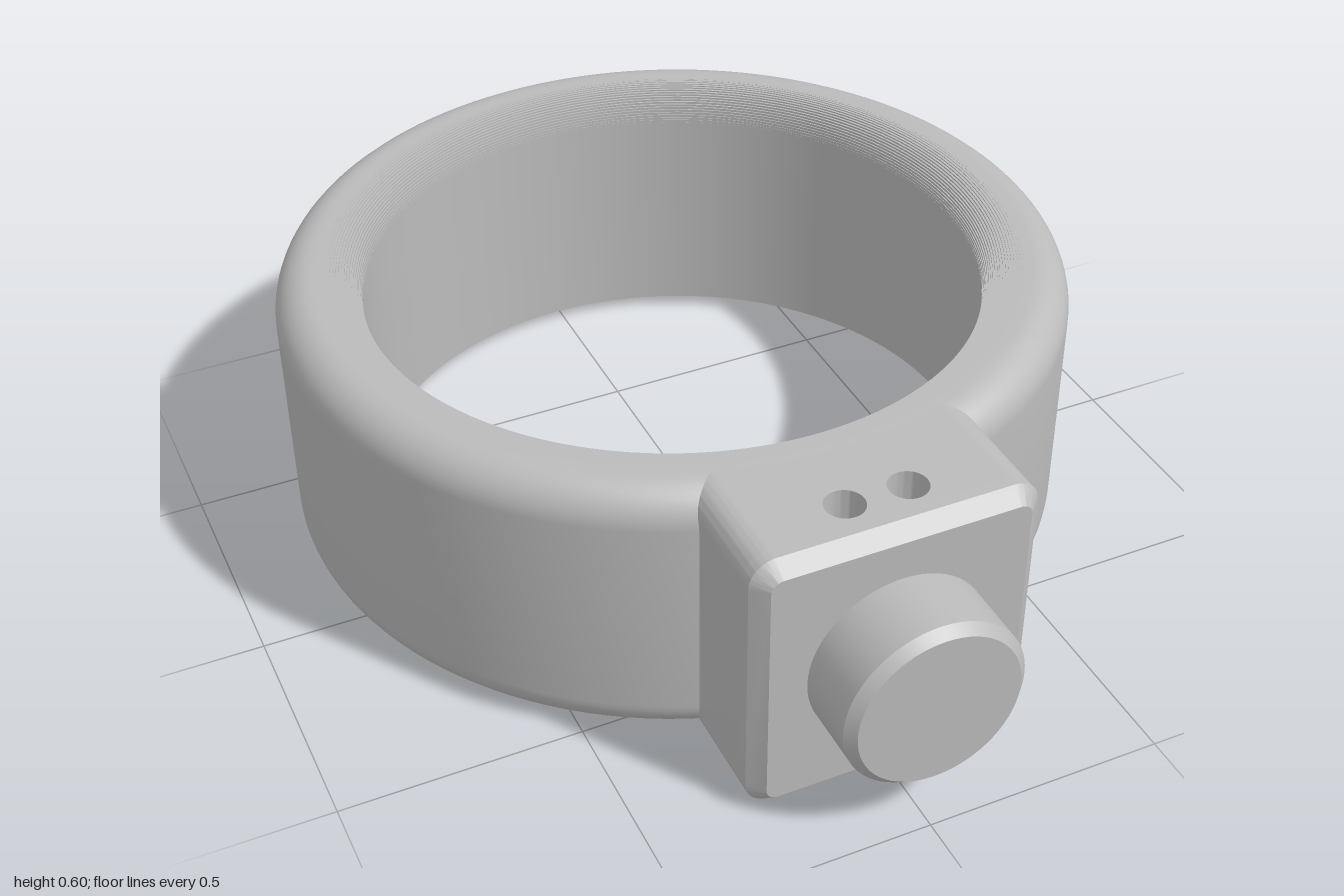
import * as THREE from 'three';
import { toCreasedNormals } from 'three/addons/utils/BufferGeometryUtils.js';

const RING_Z = -0.17, OUTER = 0.83, INNER = 0.65, HEIGHT = 0.6, FILLET = 0.08;
const HALF = 0.295, CORNER = 0.055, SLAB = HALF - CORNER;

const grey = new THREE.MeshStandardMaterial({ color: 0xbbbbbb });
grey.name = 'grey';

function add(group, name, geometry, x = 0, y = 0, z = 0) {
  const mesh = new THREE.Mesh(toCreasedNormals(geometry, 0.5), grey);
  mesh.name = name;
  mesh.position.set(x, y, z);
  group.add(mesh);
  return mesh;
}

// Closed ring section: smooth outer fillets, finely stepped inner fillets
function ringProfile() {
  const half = [];
  const steps = 20, rc = INNER + FILLET;
  for (let i = 0; i <= steps; i++) {
    const a = (i / steps) * Math.PI / 2;
    const r = rc - FILLET * Math.cos(a), y = FILLET - FILLET * Math.sin(a);
    if (i > 0) half.push([half[half.length - 1][0], y]);
    half.push([r, y]);
  }
  for (let i = 0; i <= 10; i++) {
    const a = (i / 10) * Math.PI / 2;
    half.push([OUTER - FILLET + FILLET * Math.sin(a), FILLET - FILLET * Math.cos(a)]);
  }
  const top = half.map(([r, y]) => [r, HEIGHT - y]).reverse();
  return [...half, ...top, half[0]].map(([r, y]) => new THREE.Vector2(r, y));
}

// Plan of the middle of the housing, its back following the ring
function slabPlan(withHoles) {
  const r = 0.735, a = Math.asin(SLAB / r);
  const plan = new THREE.Shape();
  plan.moveTo(-SLAB, -0.79);
  plan.lineTo(SLAB, -0.79);
  plan.absarc(0, -RING_Z, r, -Math.PI / 2 + a, -Math.PI / 2 - a, true);
  plan.closePath();
  if (withHoles) {
    for (const x of [-0.065, 0.065]) {
      plan.holes.push(new THREE.Path().absarc(x, -0.73, 0.04, 0, Math.PI * 2, true));
    }
  }
  return plan;
}

// Rounded rectangle centred on the origin
function roundedRect(w, h, r) {
  const s = new THREE.Shape();
  s.absarc(w - r, h - r, r, 0, Math.PI / 2);
  s.absarc(r - w, h - r, r, Math.PI / 2, Math.PI);
  s.absarc(r - w, r - h, r, Math.PI, Math.PI * 1.5);
  s.absarc(w - r, r - h, r, Math.PI * 1.5, Math.PI * 2);
  s.closePath();
  return s;
}

export function createModel() {
  const model = new THREE.Group();
  model.name = 'clampRing';

  add(model, 'ring', new THREE.LatheGeometry(ringProfile(), 128), 0, 0, RING_Z);

  const housing = new THREE.Group();
  housing.name = 'housing';
  model.add(housing);

  // Middle block, with two blind holes from above
  for (const [name, y0, y1, holes] of [['lowerBlock', 0, 0.42, false], ['upperBlock', 0.42, HEIGHT, true]]) {
    const g = new THREE.ExtrudeGeometry(slabPlan(holes), { depth: y1 - y0, bevelEnabled: false, curveSegments: 24 });
    g.rotateX(-Math.PI / 2);
    add(housing, name, g, 0, y0, 0);
  }

  // Side cheeks with rounded long edges
  for (const [name, turn] of [['leftCheek', 0], ['rightCheek', Math.PI]]) {
    const s = new THREE.Shape();
    s.moveTo(SLAB, -HEIGHT / 2);
    s.absarc(SLAB, CORNER - HEIGHT / 2, CORNER, -Math.PI / 2, 0);
    s.absarc(SLAB, HEIGHT / 2 - CORNER, CORNER, 0, Math.PI / 2);
    s.closePath();
    const g = new THREE.ExtrudeGeometry(s, { depth: 0.27, bevelEnabled: false, curveSegments: 8 });
    g.rotateZ(turn);
    add(housing, name, g, 0, HEIGHT / 2, 0.52);
  }

  // Chamfered front plate; its rear bevel sits inside the block
  const bevel = 0.03;
  const plate = new THREE.ExtrudeGeometry(roundedRect(HALF - bevel, HEIGHT / 2 - bevel, CORNER - bevel), {
    depth: 0.025, bevelThickness: bevel, bevelSize: bevel, bevelSegments: 1, curveSegments: 8,
  });
  add(housing, 'frontPlate', plate, 0, HEIGHT / 2, 0.785);

  // Round knob with a chamfered rim
  const knob = new THREE.LatheGeometry(
    [[0.187, 0], [0.187, 0.18], [0.168, 0.2], [0, 0.2]].map(([r, y]) => new THREE.Vector2(r, y)), 64);
  knob.rotateX(Math.PI / 2);
  add(model, 'knob', knob, 0, HEIGHT / 2, 0.8);

  return model;
}
